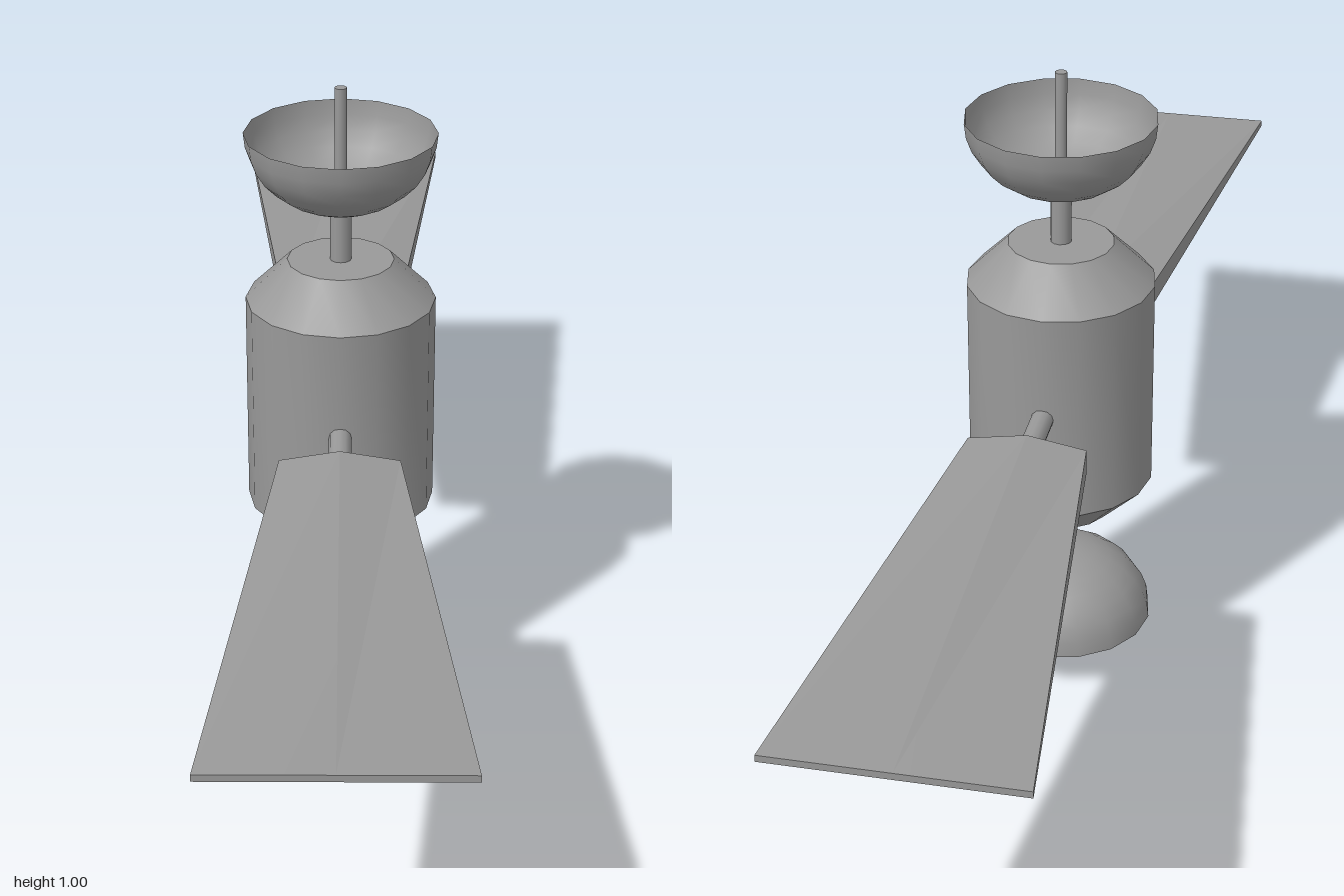
import * as THREE from 'three';
import { toCreasedNormals } from 'three/addons/utils/BufferGeometryUtils.js';

const SIDES = 16;
const MID = 0.5; // height of the centre of symmetry

export function createModel() {
  const model = new THREE.Group();
  model.name = 'satellite';
  const grey = new THREE.MeshStandardMaterial({ color: 0x999999, side: THREE.DoubleSide });
  grey.name = 'grey metal';

  function add(parent, name, geometry) {
    const mesh = new THREE.Mesh(geometry, grey);
    mesh.name = name;
    parent.add(mesh);
    return mesh;
  }

  // Barrel-shaped body with chamfered ends
  const profile = [[0, -0.23], [0.08, -0.23], [0.143, -0.167], [0.143, 0.167], [0.08, 0.23], [0, 0.23]]
    .map(([r, y]) => new THREE.Vector2(r, y));
  const body = add(model, 'body', toCreasedNormals(new THREE.LatheGeometry(profile, SIDES), 0.6));
  body.position.y = MID;

  // Open bowl, rim upwards, flattened from a half sphere
  const bowl = [];
  for (let i = 0; i <= 8; i++) {
    const a = (i / 8) * Math.PI / 2;
    bowl.push(new THREE.Vector2(0.143 * Math.sin(a), 0.43 - 0.12 * Math.cos(a)));
  }

  // Dish, mast and antenna at each end
  for (const [side, turn] of [['top', 0], ['bottom', Math.PI]]) {
    const end = new THREE.Group();
    end.name = side + 'DishAssembly';
    end.position.y = MID;
    end.rotation.x = turn;
    add(end, side + 'Dish', new THREE.LatheGeometry(bowl, SIDES));
    add(end, side + 'Mast', new THREE.CylinderGeometry(0.016, 0.016, 0.1, 12)).position.y = 0.27;
    add(end, side + 'Antenna', new THREE.CylinderGeometry(0.009, 0.009, 0.19, 12)).position.y = 0.405;
    model.add(end);
  }

  // Solar panel: widens and thins outwards, with a low ridge along its middle
  function panelGeometry() {
    const box = new THREE.BoxGeometry(2, 2, 1, 2, 1, 1);
    const p = box.attributes.position;
    for (let i = 0; i < p.count; i++) {
      const outer = p.getZ(i) > 0;
      const middle = Math.abs(p.getX(i)) < 0.5;
      const halfHeight = outer ? 0.005 : middle ? 0.035 : 0.02;
      p.setXYZ(i, p.getX(i) * (outer ? 0.173 : 0.088), p.getY(i) * halfHeight, outer ? 1 : 0.245);
    }
    return toCreasedNormals(box, 0.1);
  }

  // Front and back panels on short arms
  for (const [side, turn] of [['front', 0], ['back', Math.PI]]) {
    const wing = new THREE.Group();
    wing.name = side + 'PanelAssembly';
    wing.position.y = MID;
    wing.rotation.y = turn;
    add(wing, side + 'Panel', panelGeometry());
    const arm = add(wing, side + 'Arm', new THREE.CylinderGeometry(0.017, 0.017, 0.15, 12));
    arm.rotation.x = Math.PI / 2;
    arm.position.z = 0.19;
    model.add(wing);
  }

  return model;
}
